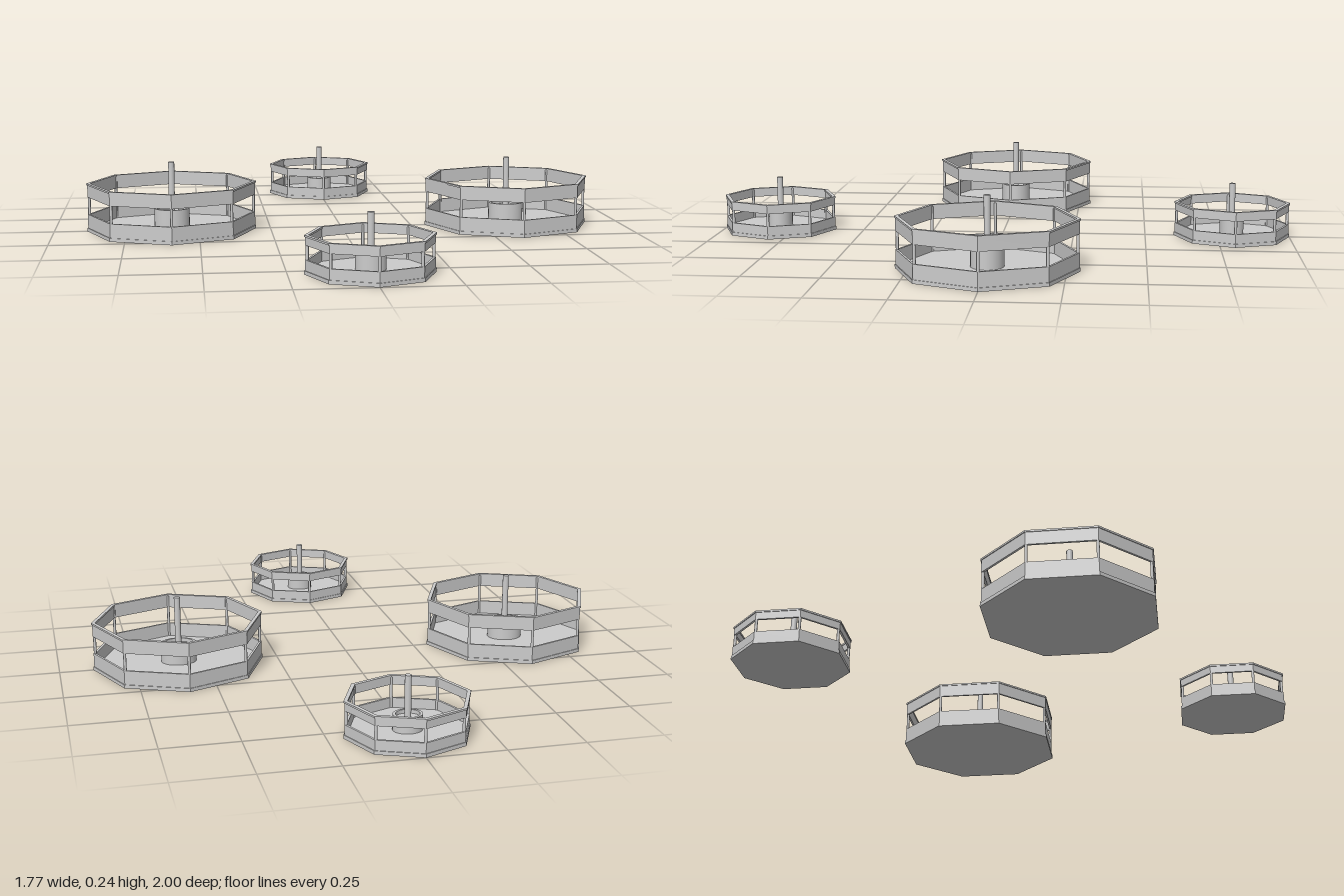
import * as THREE from 'three';

const grey = new THREE.MeshStandardMaterial({ color: 0xcccccc, flatShading: true });
const smooth = new THREE.MeshStandardMaterial({ color: 0xcccccc });

function add(parent, name, geometry, material = grey) {
  const mesh = new THREE.Mesh(geometry, material);
  mesh.name = name;
  parent.add(mesh);
  return mesh;
}

// Points of an octagon with corners on the axes
function octagon(r) {
  return Array.from({ length: 8 }, (_, i) => {
    const a = (i * Math.PI) / 4;
    return new THREE.Vector2(r * Math.cos(a), r * Math.sin(a));
  });
}

// Hollow octagonal band between two heights
function band(outer, inner, y0, y1) {
  const shape = new THREE.Shape(octagon(outer));
  shape.holes.push(new THREE.Path(octagon(inner).reverse()));
  const g = new THREE.ExtrudeGeometry(shape, { depth: y1 - y0, bevelEnabled: false });
  return g.rotateX(-Math.PI / 2).translate(0, y0, 0);
}

function cylinder(r, y0, y1, sides) {
  return new THREE.CylinderGeometry(r, r, y1 - y0, sides).translate(0, (y0 + y1) / 2, 0);
}

function createPen(name, x, z, s) {
  const pen = new THREE.Group();
  pen.name = name;
  pen.position.set(x, 0, z);

  // Floor and the two bands of boards
  add(pen, 'floor', cylinder(s.r, 0, 0.012, 8));
  add(pen, 'lowerWall', band(s.r - 0.003, s.r - 0.011, 0.01, s.wallTop));
  add(pen, 'upperRail', band(s.r - 0.003, s.r - 0.011, s.railBottom, s.top - 0.006));
  add(pen, 'railCap', band(s.r, s.r - 0.013, s.top - 0.006, s.top));

  // Corner posts between the bands
  octagon(s.r - 0.009).forEach((p) => {
    const post = add(pen, 'cornerPost', cylinder(0.005, 0.012, s.top - 0.006, 8), smooth);
    post.position.set(p.x, 0, p.y);
  });

  // Oval hub with a raised rim around the pole
  const profile = [
    [s.hub, 0.012], [s.hub, s.hubTop], [s.hub - 0.009, s.hubTop],
    [s.hub - 0.009, s.hubTop - 0.012], [0, s.hubTop - 0.012],
  ];
  // Each straight run is its own lathe so the edges stay sharp
  for (let i = 0; i < profile.length - 1; i++) {
    const run = [profile[i], profile[i + 1]].map(([px, py]) => new THREE.Vector2(px, py));
    add(pen, 'hub', new THREE.LatheGeometry(run, 32), smooth).scale.z = 0.88;
  }
  add(pen, 'pole', cylinder(0.0105, 0.012, s.poleTop, 16), smooth);
  return pen;
}

export function createModel() {
  const model = new THREE.Group();
  model.name = 'fourPens';
  const large = { r: 0.293, wallTop: 0.06, railBottom: 0.12, top: 0.168, hub: 0.061, hubTop: 0.077, poleTop: 0.239 };
  const small = { r: 0.2, wallTop: 0.045, railBottom: 0.089, top: 0.12, hub: 0.047, hubTop: 0.063, poleTop: 0.187 };
  model.add(
    createPen('leftPen', 0.593, 0, large),
    createPen('rightPen', -0.593, 0, large),
    createPen('frontPen', 0, 0.8, small),
    createPen('backPen', 0, -0.8, small),
  );
  return model;
}
